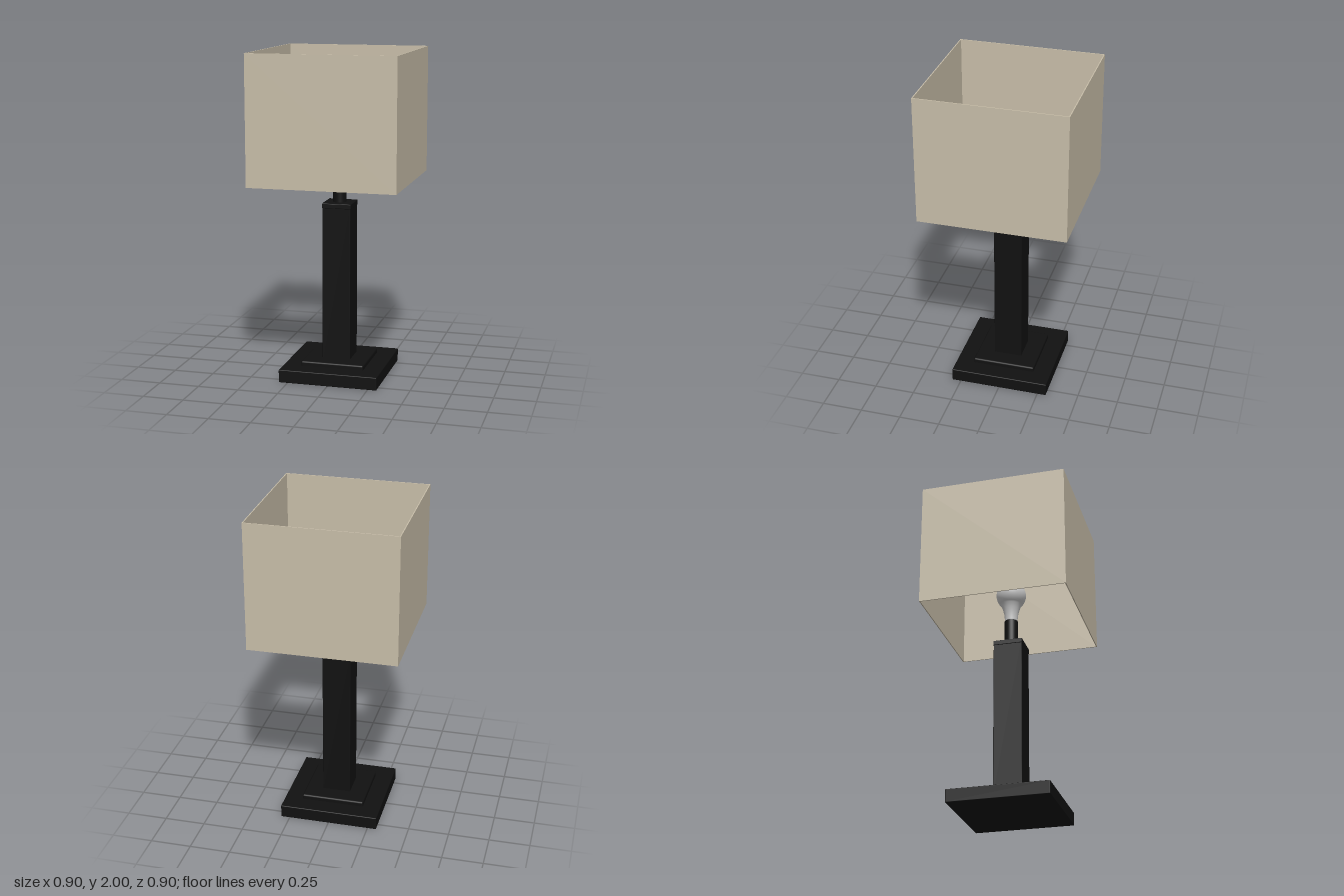
import * as THREE from 'three';
import { RoundedBoxGeometry } from 'three/addons/geometries/RoundedBoxGeometry.js';

export function createModel() {
  const lamp = new THREE.Group();
  lamp.name = 'tableLamp';
  const black = new THREE.MeshStandardMaterial({ color: 0x111111 });
  const linen = new THREE.MeshStandardMaterial({ color: 0xc8bea9 });
  const grey = new THREE.MeshStandardMaterial({ color: 0xcccccc });

  const add = (name, geometry, material, y = 0) => {
    const mesh = new THREE.Mesh(geometry, material);
    mesh.name = name;
    mesh.position.y = y;
    lamp.add(mesh);
    return mesh;
  };
  // Square block with softened edges, standing between two heights
  const block = (name, width, bottom, top, radius) =>
    add(name, new RoundedBoxGeometry(width, top - bottom, width, 2, radius), black, (bottom + top) / 2);

  // Stepped base and square column
  block('base', 0.61, 0, 0.08, 0.005);
  block('baseStep', 0.39, 0.06, 0.11, 0.01);
  block('column', 0.175, 0.1, 1.06, 0.004);
  block('columnCap', 0.18, 1.05, 1.08, 0.004);

  // Socket under the bulb
  add('socket', new THREE.CylinderGeometry(0.041, 0.041, 0.18, 32), black, 1.15);

  // Bulb: narrow neck flaring into a round globe
  const radius = 0.092, centre = 1.42;
  const profile = [[0, 1.2], [0.038, 1.2], [0.039, 1.25], [0.043, 1.29], [0.052, 1.325]]
    .map(([x, y]) => new THREE.Vector2(x, y));
  for (let i = 0; i <= 20; i++) {
    const a = THREE.MathUtils.lerp(-0.83, Math.PI / 2, i / 20);
    profile.push(new THREE.Vector2(Math.max(0, radius * Math.cos(a)), centre + radius * Math.sin(a)));
  }
  add('bulb', new THREE.LatheGeometry(profile, 40), grey);

  // Thin square shade, open at top and bottom
  const square = (half, Type) => new Type([[-1, -1], [1, -1], [1, 1], [-1, 1]]
    .map(([x, y]) => new THREE.Vector2(x * half, y * half)));
  const outline = square(0.448, THREE.Shape);
  outline.holes.push(square(0.442, THREE.Path));
  const shade = new THREE.ExtrudeGeometry(outline, { depth: 0.78, bevelEnabled: false });
  shade.rotateX(-Math.PI / 2);
  add('shade', shade, linen, 1.22);

  return lamp;
}
